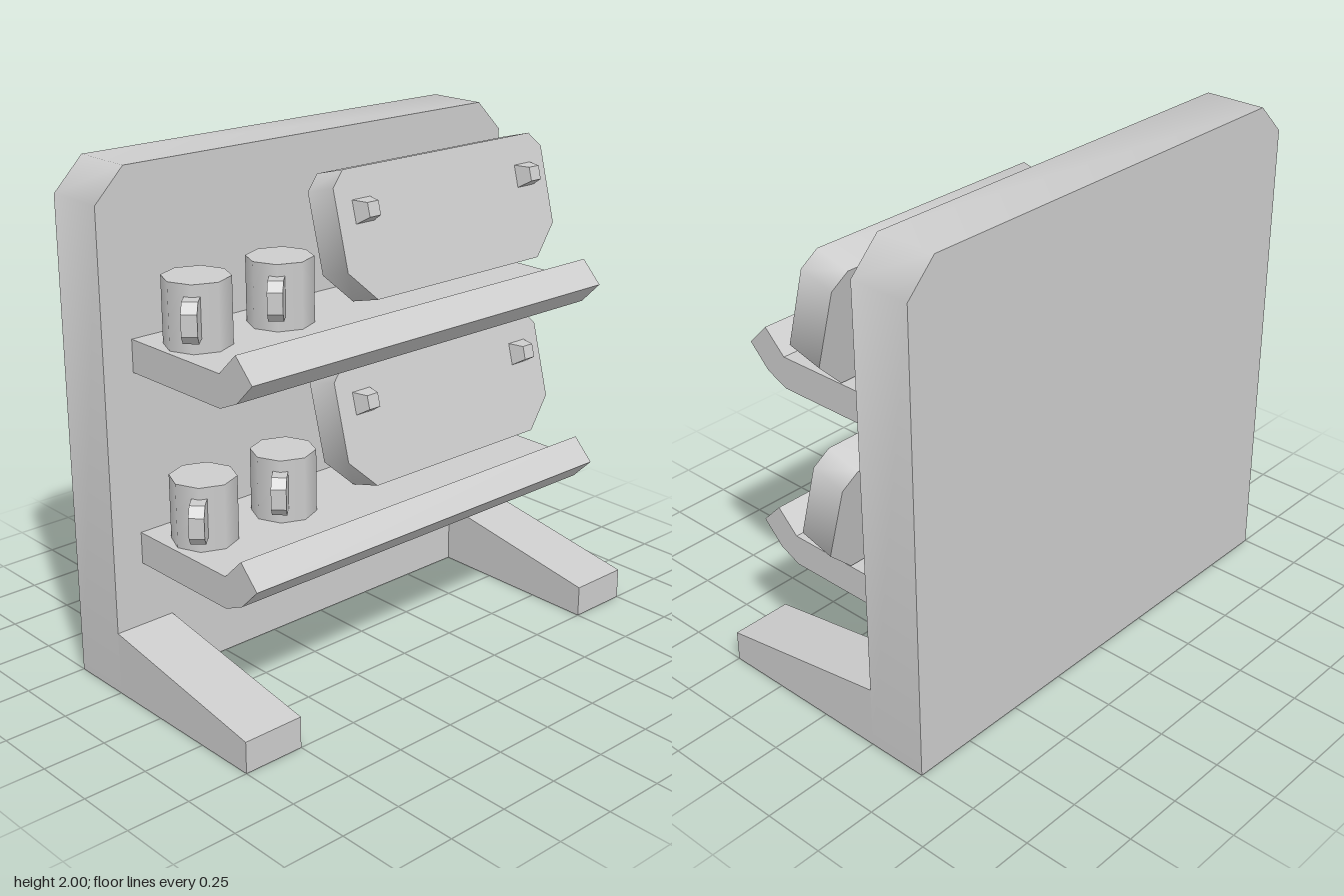
import * as THREE from 'three';
import { toCreasedNormals } from 'three/addons/utils/BufferGeometryUtils.js';

const grey = new THREE.MeshStandardMaterial({ color: 0xcccccc });
grey.name = 'grey';

// Extrude an outline, centred on its depth; crease sets which edges stay sharp
function slab(points, depth, crease = 0.3) {
  const shape = new THREE.Shape(points.map(([x, y]) => new THREE.Vector2(x, y)));
  const geo = new THREE.ExtrudeGeometry(shape, { depth, bevelEnabled: false });
  geo.translate(0, 0, -depth / 2);
  return toCreasedNormals(geo, crease);
}

// Side profile given as (z, y), swept along x
const sideSlab = (points, width) => slab(points, width).rotateY(-Math.PI / 2);

function add(parent, name, geo, x = 0, y = 0, z = 0) {
  const mesh = new THREE.Mesh(geo, grey);
  mesh.name = name;
  mesh.position.set(x, y, z);
  parent.add(mesh);
  return mesh;
}

function makeMug() {
  const mug = new THREE.Group();
  mug.name = 'mug';
  add(mug, 'mugBody', new THREE.CylinderGeometry(0.125, 0.125, 0.25, 8), 0, 0.125, 0);
  const handle = slab([[0.09, 0.055], [0.175, 0.055], [0.208, 0.09],
    [0.208, 0.17], [0.175, 0.205], [0.09, 0.205]], 0.057);
  add(mug, 'mugHandle', handle).rotation.y = -Math.PI * 0.75;
  return mug;
}

// Leaning board with cut corners and two tapered pegs
function makeBoard() {
  const board = new THREE.Group();
  board.name = 'leaningBoard';
  const w = 0.5625, h = 0.248, t = 0.06, b = 0.122;
  add(board, 'boardPanel', slab([[-w + b, -h], [w - b, -h], [w, -h + b], [w, h - t],
    [w - t, h], [-w + t, h], [-w, h - t], [-w, -h + b]], 0.146, 0.9));
  for (const side of [-1, 1]) {
    const peg = new THREE.CylinderGeometry(0.0275 * Math.SQRT2, 0.045 * Math.SQRT2, 0.062, 4);
    peg.rotateY(Math.PI / 4).rotateX(Math.PI / 2);
    add(board, 'peg', toCreasedNormals(peg, 0.3), side * 0.4375, 0.088, 0.104);
  }
  board.rotation.x = -Math.PI / 12;
  return board;
}

// Shelf with a raised front lip, origin at the shelf top
function makeShelf() {
  const shelf = new THREE.Group();
  shelf.name = 'shelf';
  add(shelf, 'shelfBoard', sideSlab([[-0.25, -0.125], [0.25, -0.125], [0.34, -0.085],
    [0.425, 0], [0.34, 0.087], [0.25, 0], [-0.25, 0]], 1.75));
  for (const x of [-0.73, -0.353]) {
    const mug = makeMug();
    mug.position.set(x, 0, -0.052);
    shelf.add(mug);
  }
  const board = makeBoard();
  board.position.set(0.4375, 0.265, -0.039);
  shelf.add(board);
  return shelf;
}

export function createModel() {
  const model = new THREE.Group();
  model.name = 'shelfStand';

  // Back panel with cut top corners
  add(model, 'backPanel', slab([[-1, 0], [1, 0], [1, 1.877], [0.877, 2],
    [-0.877, 2], [-1, 1.877]], 0.25, 0.9), 0, 0, -0.375);

  // Feet
  for (const side of [-1, 1]) {
    add(model, side > 0 ? 'leftFoot' : 'rightFoot',
      sideSlab([[-0.25, 0], [0.5, 0], [0.5, 0.125], [-0.25, 0.25]], 0.25), side * 0.875);
  }

  // Two identical shelves
  for (const y of [0.625, 1.375]) {
    const shelf = makeShelf();
    shelf.position.y = y;
    model.add(shelf);
  }
  return model;
}
